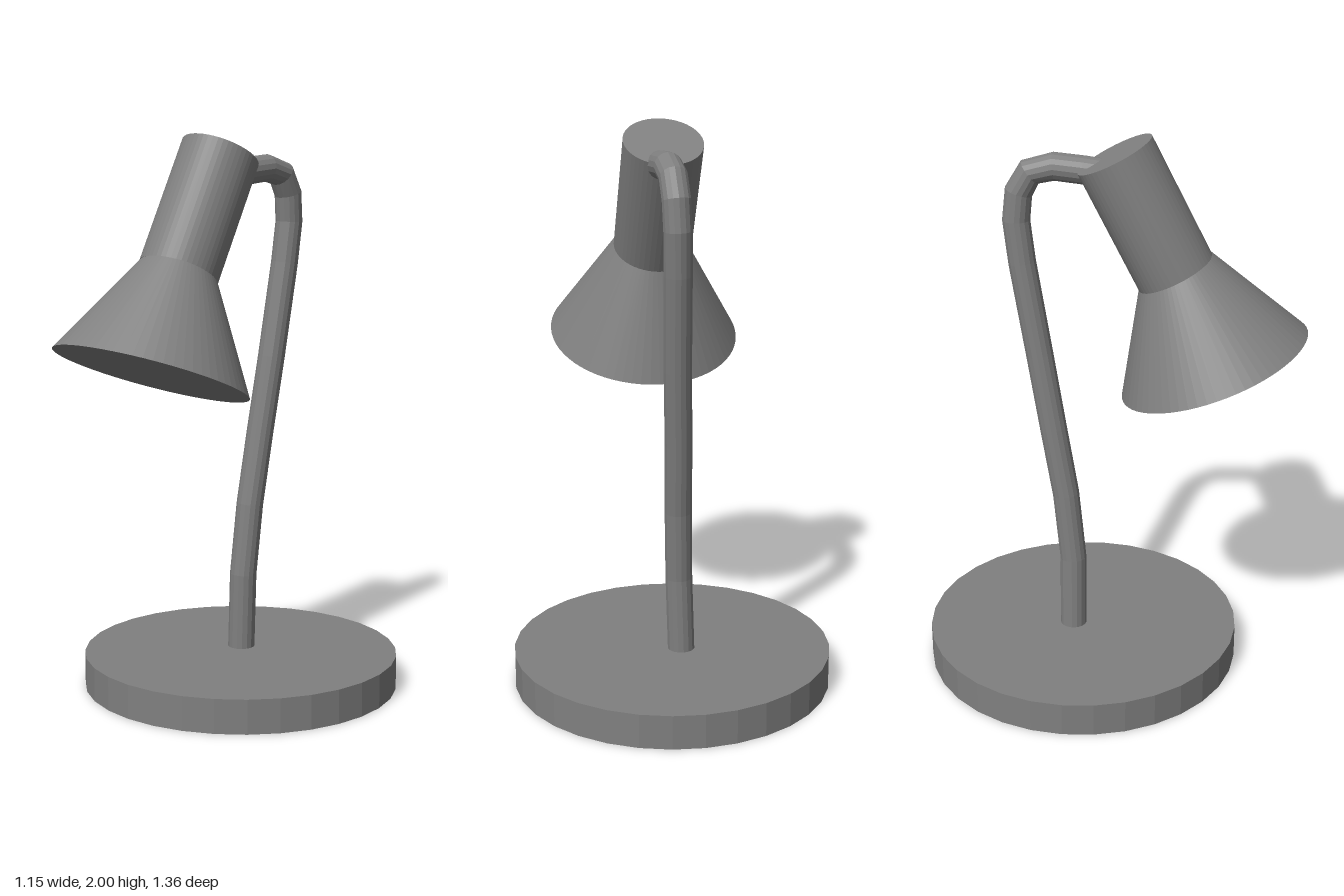
import * as THREE from 'three';

export function createModel() {
  const lamp = new THREE.Group();
  lamp.name = 'deskLamp';
  const grey = new THREE.MeshStandardMaterial({ color: 0x808080, flatShading: true });
  grey.name = 'grey';
  const smoothGrey = grey; // one colour throughout
  const V = (x, y, z) => new THREE.Vector3(x, y, z);

  function add(name, geometry, material = grey) {
    const mesh = new THREE.Mesh(geometry, material);
    mesh.name = name;
    lamp.add(mesh);
    return mesh;
  }

  // Closed round part running from the centre of its lower end to its upper end
  function roundPart(name, low, high, rLow, rHigh, sides) {
    const axis = high.clone().sub(low);
    const mesh = add(name, new THREE.CylinderGeometry(rHigh, rLow, axis.length(), sides));
    mesh.position.copy(low).add(high).multiplyScalar(0.5);
    mesh.quaternion.setFromUnitVectors(V(0, 1, 0), axis.normalize());
    return mesh;
  }

  // Base disc
  roundPart('base', V(-0.003, 0, -0.107), V(-0.003, 0.123, -0.107), 0.574, 0.574, 32);

  // Lamp head: socket cylinder and flared shade, tilted slightly differently
  roundPart('socket', V(0.005, 1.53, 0.22), V(0.005, 1.938, 0.01), 0.14, 0.14, 48);
  roundPart('shade', V(0.012, 1.195, 0.36), V(0.01, 1.55, 0.221), 0.346, 0.13, 64);

  // Bent stem, with one ring at every path point so the bend stays faceted
  const path = [
    [0.1, -0.14], [0.4, -0.14], [0.66, -0.166], [0.92, -0.21], [1.2, -0.257],
    [1.54, -0.314], [1.69, -0.332], [1.79, -0.322], [1.86, -0.282],
    [1.882, -0.2], [1.873, -0.1], [1.865, -0.035],
  ].map(([y, z]) => V(-0.034 + 0.032 * y + (y > 1 ? 0.004 : 0), y, z));
  const curve = new THREE.CatmullRomCurve3(path);
  curve.getUtoTmapping = (u) => u;
  add('stem', new THREE.TubeGeometry(curve, path.length - 1, 0.049, 16), smoothGrey);

  return lamp;
}
